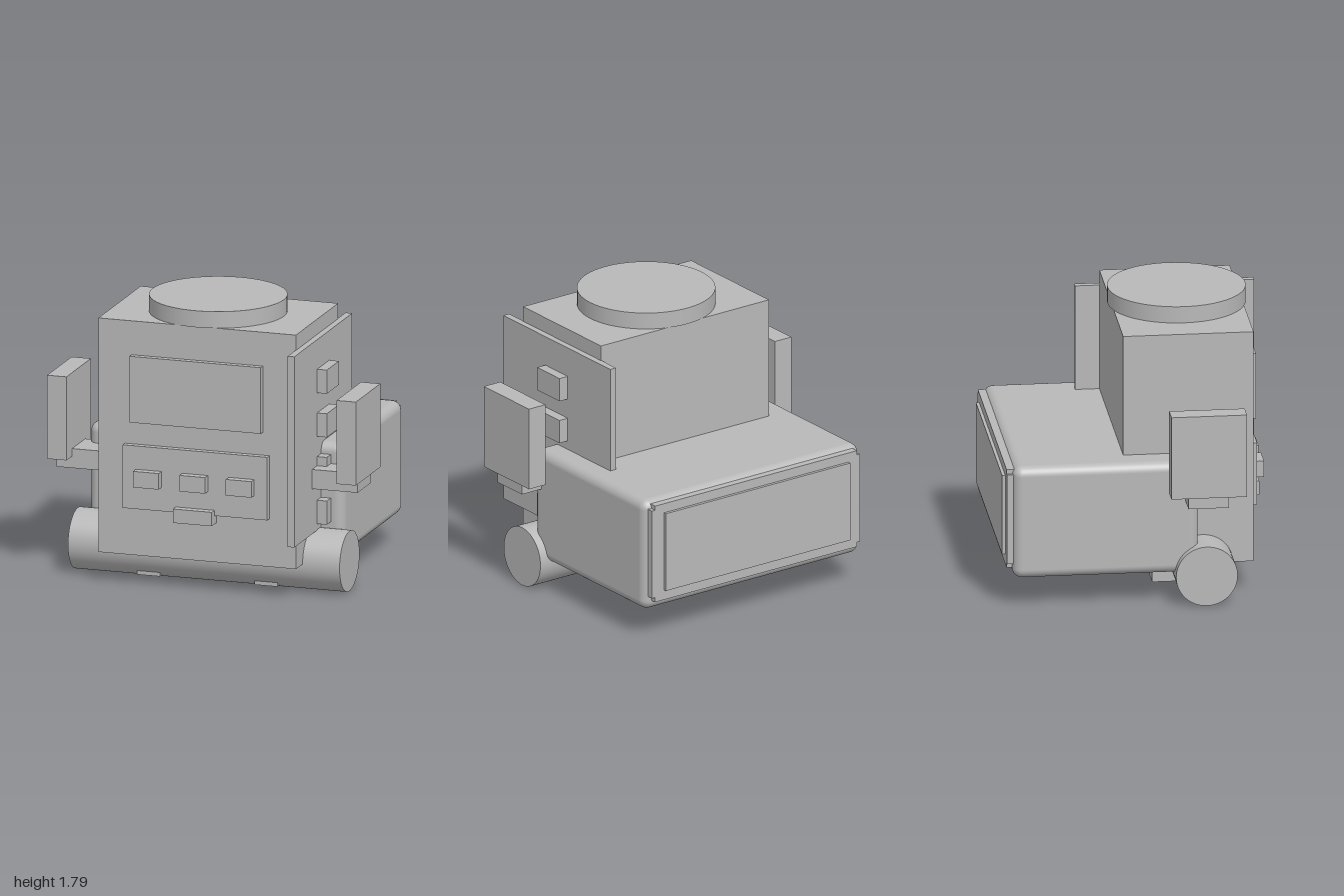
import * as THREE from 'three';
import { RoundedBoxGeometry } from 'three/addons/geometries/RoundedBoxGeometry.js';

export function createModel() {
  const model = new THREE.Group();
  model.name = 'boxyRobot';
  const grey = new THREE.MeshStandardMaterial({ color: 0xb8b8b8 });
  grey.name = 'plain grey';

  function add(name, geometry, x, y, z) {
    const mesh = new THREE.Mesh(geometry, grey);
    mesh.name = name;
    mesh.position.set(x, y, z);
    model.add(mesh);
    return mesh;
  }

  // Box given by its extents on each axis
  function box(name, [x0, x1], [y0, y1], [z0, z1]) {
    return add(name, new THREE.BoxGeometry(x1 - x0, y1 - y0, z1 - z0),
      (x0 + x1) / 2, (y0 + y1) / 2, (z0 + z1) / 2);
  }

  // Main body with a round lid
  box('body', [-0.64, 0.64], [0.2, 1.685], [-0.1, 0.705]);
  add('lid', new THREE.CylinderGeometry(0.425, 0.425, 0.105, 64), 0, 1.738, 0.302);

  // Front screen and control panel
  box('screen', [-0.425, 0.425], [1.05, 1.47], [0.7, 0.745]);
  box('controlPanel', [-0.468, 0.468], [0.505, 0.905], [0.7, 0.747]);
  for (const x of [-0.3, 0, 0.3]) {
    box('button', [x - 0.083, x + 0.083], [0.655, 0.757], [0.74, 0.8]);
  }
  box('slot', [-0.126, 0.126], [0.452, 0.54], [0.7, 0.8]);

  // Side door with a column of knobs
  box('sideDoor', [0.637, 0.68], [0.378, 1.588], [-0.25, 0.855]);
  for (let i = 0; i < 4; i++) {
    const y = 1.325 - i * 0.277;
    box('sideKnob', [0.67, 0.743], [y - 0.075, y + 0.075], [0.19, 0.42]);
  }

  // Rear housing with rounded edges
  add('rearHousing', new RoundedBoxGeometry(1.65, 0.72, 1.145, 5, 0.06), 0, 0.557, -0.228);

  // Rear plate with notched corners and a raised hatch
  box('rearPlateTall', [-0.77, 0.77], [0.26, 0.895], [-0.835, -0.78]);
  box('rearPlateWide', [-0.793, 0.793], [0.29, 0.867], [-0.835, -0.78]);
  box('rearHatch', [-0.703, 0.703], [0.325, 0.835], [-0.855, -0.8]);

  // Roller across the front
  add('roller', new THREE.CylinderGeometry(0.19, 0.19, 1.76, 64), 0, 0.193, 0.39).rotation.z = Math.PI / 2;

  // Mirrored arms with paddles, and feet
  for (const s of [-1, 1]) {
    const span = (a, b) => (s > 0 ? [a, b] : [-b, -a]);
    box('arm', span(0.6, 0.975), [0.665, 0.788], [0.265, 0.515]);
    box('paddle', span(0.875, 1), [0.74, 1.27], [0.157, 0.623]);
    box('foot', span(0.307, 0.455), [0.025, 0.2], [0.1, 0.515]);
  }

  // Underside bar and centre stud
  box('underBar', [-0.455, 0.455], [0.11, 0.205], [0.1, 0.3]);
  add('stud', new THREE.CylinderGeometry(0.1, 0.1, 0.15, 32), 0, 0.125, 0.3);

  return model;
}
